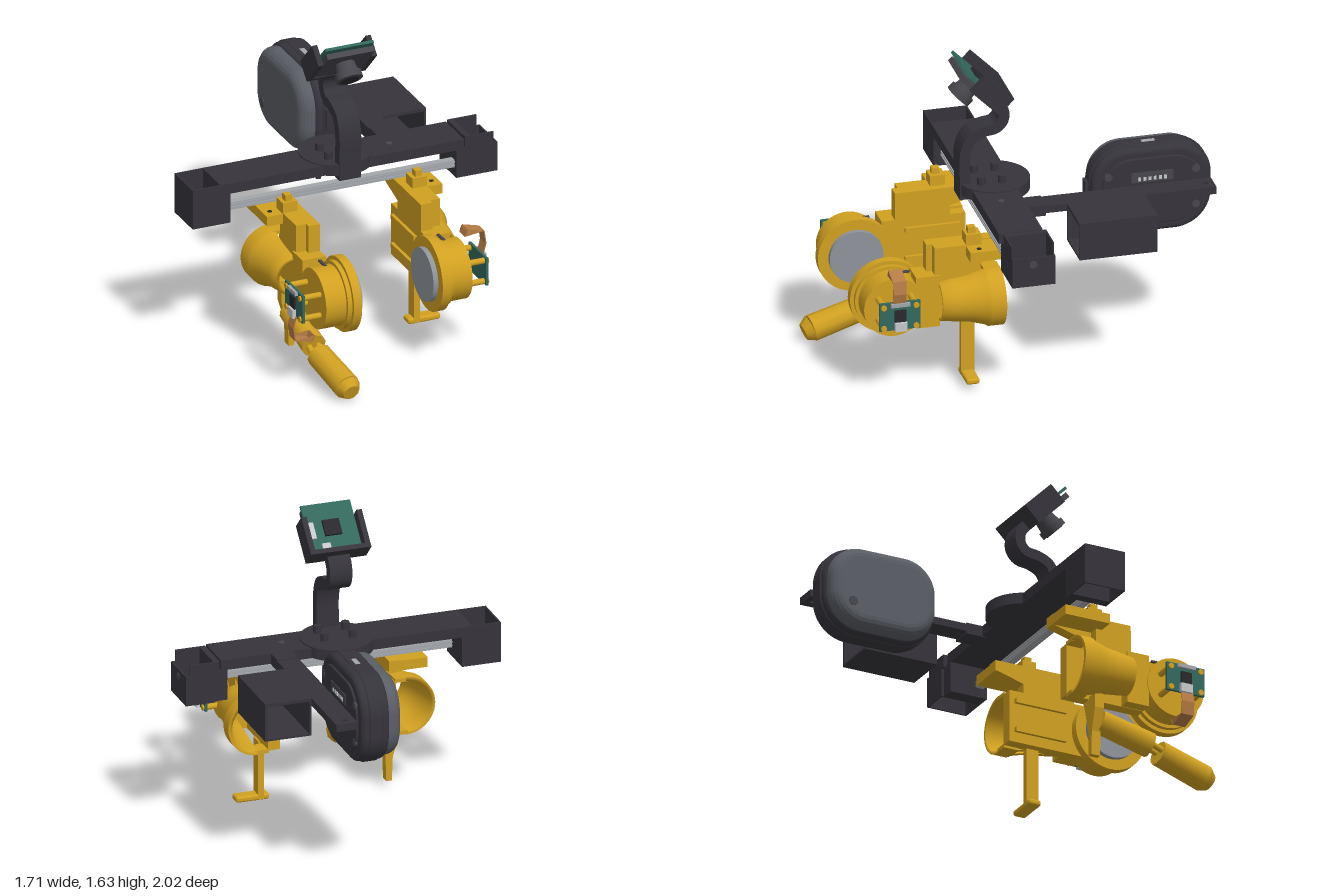
import * as THREE from 'three';
import { RoundedBoxGeometry } from 'three/addons/geometries/RoundedBoxGeometry.js';

const mat = (name, color) => new THREE.MeshStandardMaterial({ name, color, side: THREE.DoubleSide });

export function createModel() {
  const root = new THREE.Group();
  const black = mat('charcoal plastic', 0x36343b), yellow = mat('yellow plastic', 0xd0a020);
  const steel = mat('rail steel', 0xa2a6aa), glass = mat('pale disc', 0x8f949b);
  const dome = mat('slate shell', 0x5a5e65), teal = mat('circuit board', 0x33685d);
  const chipM = mat('chip', 0x29292d), white = mat('connector', 0xc4c8ca);
  const copper = mat('ribbon', 0xb67c45), lensM = mat('lens housing', 0x46464c);

  const group = (name, parent = root) => {
    const g = new THREE.Group();
    g.name = name;
    parent.add(g);
    return g;
  };
  const add = (parent, name, geo, m) => {
    const mesh = new THREE.Mesh(geo, m);
    mesh.name = name;
    parent.add(mesh);
    return mesh;
  };
  // Box given by its opposite limits
  const box = (p, name, m, x0, x1, y0, y1, z0, z1) => add(p, name,
    new THREE.BoxGeometry(Math.abs(x1 - x0), y1 - y0, z1 - z0)
      .translate((x0 + x1) / 2, (y0 + y1) / 2, (z0 + z1) / 2), m);
  // Cylinder between two points
  const rod = (p, name, m, a, b, r0, r1 = r0, sides = 32) => {
    const A = new THREE.Vector3(...a), B = new THREE.Vector3(...b), d = B.clone().sub(A);
    const mesh = add(p, name, new THREE.CylinderGeometry(r1, r0, d.length(), sides), m);
    mesh.quaternion.setFromUnitVectors(new THREE.Vector3(0, 1, 0), d.normalize());
    mesh.position.copy(A.add(B).multiplyScalar(0.5));
    return mesh;
  };
  // Side outline of (z, y) points given thickness along x
  const slab = (p, name, m, pts, x0, x1) => {
    const lo = Math.min(x0, x1), hi = Math.max(x0, x1);
    const shape = new THREE.Shape(pts.map(q => new THREE.Vector2(...q)));
    return add(p, name, new THREE.ExtrudeGeometry(shape, { depth: hi - lo, bevelEnabled: false })
      .rotateY(-Math.PI / 2).translate(hi, 0, 0), m);
  };
  // Four thin upright walls, open above and below
  const sleeve = (p, name, x0, x1, y0, y1, z0, z1, t) => {
    const g = group(name, p);
    box(g, 'frontWall', black, x0, x1, y0, y1, z1 - t, z1);
    box(g, 'backWall', black, x0, x1, y0, y1, z0, z0 + t);
    box(g, 'sideWall', black, x0, x0 + t, y0, y1, z0, z1);
    box(g, 'sideWall', black, x1 - t, x1, y0, y1, z0, z1);
  };

  // Cross beam, rail and end housings
  const frame = group('frame');
  box(frame, 'crossBeam', black, -0.7, 0.655, 0.912, 0.968, 0, 0.23);
  box(frame, 'rail', steel, -0.65, 0.63, 0.8, 0.84, 0.15, 0.19);
  for (const y of [0.808, 0.826]) box(frame, 'railLip', steel, -0.65, 0.63, y, y + 0.008, 0.145, 0.195);
  sleeve(frame, 'rightHousing', -0.855, -0.69, 0.75, 0.968, 0, 0.23, 0.008);
  box(frame, 'rightHousingBlock', black, -0.7, -0.645, 0.75, 0.968, 0, 0.23);
  sleeve(frame, 'leftHousing', 0.69, 0.85, 0.748, 0.908, -0.015, 0.21, 0.008);
  box(frame, 'leftHousingBlock', black, 0.62, 0.7, 0.748, 0.912, 0, 0.21);
  box(frame, 'leftHousingRim', black, 0.668, 0.7, 0.9, 0.97, -0.015, 0.21);
  for (const z of [-0.015, 0.202]) box(frame, 'housingTab', black, 0.69, 0.828, 0.9, 0.97, z, z + 0.008);
  rod(frame, 'housingButton', lensM, [0.848, 0.87, 0.1], [0.854, 0.87, 0.1], 0.02);
  rod(frame, 'beamScrew', lensM, [0.285, 0.96, 0.12], [0.285, 0.972, 0.12], 0.017);
  rod(frame, 'turntable', black, [0, 0.915, 0.09], [0, 0.975, 0.09], 0.19, 0.19, 48);
  for (const x of [-0.075, 0.075]) for (const z of [0.06, 0.17])
    rod(frame, 'turntablePost', black, [x, 0.97, z], [x, 1.015, z], 0.021, 0.021, 16);
  rod(frame, 'beamPin', black, [-0.143, 0.89, 0.2], [-0.143, 0.93, 0.2], 0.014);

  // Curved neck: an S-shaped strip
  const neck = new THREE.CatmullRomCurve3([[0.25, 0.89], [0.25, 1.0], [0.25, 1.14], [0.215, 1.225], [0.15, 1.258],
    [0.085, 1.27], [0.05, 1.31], [0.05, 1.37], [0.10, 1.44]].map(([z, y]) => new THREE.Vector3(z, y, 0)));
  const sideA = [], sideB = [];
  for (let i = 0; i <= 32; i++) {
    const c = neck.getPoint(i / 32), t = neck.getTangent(i / 32);
    sideA.push([c.x - t.y * 0.028, c.y + t.x * 0.028]);
    sideB.unshift([c.x + t.y * 0.028, c.y - t.x * 0.028]);
  }
  slab(root, 'neck', black, [...sideA, ...sideB], -0.06, 0.06);

  // Tilted camera in its tray, lens towards local +z
  const cam = group('camera');
  cam.position.set(0, 1.52, 0.17);
  cam.rotation.x = Math.PI / 4;
  for (const s of [-1, 1]) box(cam, 'traySide', black, s * 0.135, s * 0.163, -0.14, 0.07, -0.075, 0.04);
  box(cam, 'trayBottom', black, -0.163, 0.163, -0.14, -0.115, -0.075, 0.04);
  box(cam, 'lensPlate', lensM, -0.13, 0.13, -0.115, 0.135, 0.005, 0.035);
  box(cam, 'cameraBoard', teal, -0.134, 0.134, -0.115, 0.152, -0.02, -0.005);
  box(cam, 'cameraChip', chipM, -0.045, 0.045, -0.03, 0.055, -0.035, -0.02);
  box(cam, 'cameraConnector', white, 0.095, 0.125, -0.04, 0.05, -0.035, -0.02);
  box(cam, 'cameraConnector', white, 0.03, 0.075, -0.1, -0.07, -0.032, -0.02);
  rod(cam, 'lensBarrel', lensM, [0, 0.02, 0.03], [0, 0.02, 0.09], 0.05, 0.058);
  rod(cam, 'lensRim', lensM, [0, 0.02, 0.088], [0, 0.02, 0.125], 0.07);
  rod(cam, 'lensGlass', chipM, [0, 0.02, 0.124], [0, 0.02, 0.128], 0.05);

  // Rear bar with end hole, and open box hanging beside it
  const rear = group('rearCarrier');
  const bar = new THREE.Shape([[0.27, 0.02], [0.385, 0.02], [0.385, 0.985], [0.27, 0.985]].map(q => new THREE.Vector2(...q)));
  bar.holes.push(new THREE.Path().absarc(0.328, 0.94, 0.016, 0, Math.PI * 2, true));
  add(rear, 'rearBar', new THREE.ExtrudeGeometry(bar, { depth: 0.04, bevelEnabled: false })
    .rotateX(-Math.PI / 2).translate(0, 0.922, 0), black);
  box(rear, 'barRoot', black, 0.27, 0.385, 0.908, 0.968, -0.09, 0.02);
  box(rear, 'boxTop', black, 0.38, 0.635, 0.945, 0.962, -0.61, -0.2);
  box(rear, 'boxFloor', black, 0.385, 0.635, 0.757, 0.768, -0.61, -0.2);
  box(rear, 'boxInnerWall', black, 0.385, 0.397, 0.757, 0.96, -0.61, -0.2);
  box(rear, 'boxOuterWall', black, 0.623, 0.635, 0.757, 0.96, -0.61, -0.2);

  // Rounded sensor pod made from stacked rounded outlines
  const pod = group('pod');
  const outline = (w, h, r) => {
    const s = new THREE.Shape();
    [[w - r, h - r, 0], [r - w, h - r, 1], [r - w, r - h, 2], [w - r, r - h, 3]]
      .forEach(([x, y, k]) => s.absarc(x, y, r, k * Math.PI / 2, (k + 1) * Math.PI / 2));
    return s;
  };
  const podLayer = (name, m, w, h, r, x0, x1, bevel) => add(pod, name,
    new THREE.ExtrudeGeometry(outline(w - bevel, h - bevel, r - bevel), { depth: x1 - x0 - 2 * bevel,
      bevelSize: bevel, bevelThickness: bevel, bevelSegments: 5, curveSegments: 14 })
      .rotateY(-Math.PI / 2).translate(x1 - bevel, 0.92, -0.68), m);
  podLayer('podBody', black, 0.315, 0.237, 0.19, 0.095, 0.25, 0.03);
  podLayer('podBand', black, 0.322, 0.242, 0.195, 0.135, 0.21, 0.008);
  podLayer('podDome', dome, 0.3, 0.222, 0.18, 0.022, 0.16, 0.06);
  podLayer('podBack', black, 0.26, 0.185, 0.15, 0.24, 0.262, 0.006);
  box(pod, 'podSocket', lensM, 0.258, 0.266, 0.975, 1.03, -0.79, -0.57);
  for (let i = 0; i < 6; i++) box(pod, 'podContact', white, 0.264, 0.269, 0.984, 1.004, -0.755 + i * 0.027, -0.74 + i * 0.027);
  for (const z of [-0.45, -0.91]) for (const y of [0.82, 1.02])
    rod(pod, 'podScrew', lensM, [0.24, y, z], [0.264, y, z], 0.021, 0.021, 20);
  box(pod, 'podPort', steel, 0.158, 0.184, 1.158, 1.164, -0.715, -0.645);
  rod(pod, 'podButton', lensM, [0.018, 0.82, -0.87], [0.06, 0.82, -0.87], 0.025);
  for (const z of [-1, -0.363]) box(pod, 'podLug', black, 0.145, 0.2, 0.86, 0.98, z, z + 0.02);

  // A gripper on each side: s = 1 is the model's left
  const gripper = s => {
    const g = group(s > 0 ? 'leftGripper' : 'rightGripper'), zc = s > 0 ? 0.715 : 0.75, yc = 0.503;
    const b = (name, m, x0, x1, ...r) => box(g, name, m, s * x0, s * x1, ...r);
    // Hanger and clamp
    b('hangerPlate', yellow, 0.28, 0.488, 0.742, 0.795, 0.08, 0.335);
    b('clampBlock', yellow, 0.32, 0.4, 0.79, 0.855, 0.255, 0.335);
    b('clampKnob', yellow, 0.343, 0.38, 0.85, 0.888, 0.28, 0.32);
    for (const x of [0.385, 0.45]) rod(g, 'hangerScrew', chipM, [s * x, 0.79, 0.28], [s * x, 0.798, 0.28], 0.012, 0.012, 16);
    slab(g, 'sideWeb', yellow, [[0.53, 0.8], [0.08, 0.8], [0.08, 0.745], [0.24, 0.7], [0.24, 0.65], [0.16, 0.65],
      [0.16, 0.365], [0.6, 0.365], [0.6, 0.65], [0.53, 0.65]], s * 0.28, s * 0.345);
    b('webBlock', yellow, 0.33, 0.41, 0.367, 0.65, 0.475, 0.6);
    b('webRib', yellow, 0.335, 0.4, 0.62, 0.8, 0.3, 0.5);
    for (const y of [0.42, 0.58]) b('innerRib', yellow, 0.262, 0.285, y, y + 0.025, 0.19, 0.48);
    // Half funnel behind the drum
    const prof = [[0.158, 0.16], [0.158, 0.235], [0.148, 0.25], [0.125, 0.33], [0.115, 0.41], [0.105, 0.48],
      [0.085, 0.48], [0.095, 0.41], [0.108, 0.33], [0.13, 0.24], [0.138, 0.16], [0.158, 0.16]];
    add(g, 'funnel', new THREE.LatheGeometry(prof.map(q => new THREE.Vector2(...q)), 24, s > 0 ? 0 : Math.PI, Math.PI)
      .rotateX(Math.PI / 2).translate(s * 0.4, 0.507, 0), yellow);
    for (const y of [0.352, 0.642]) b('funnelFlange', yellow, 0.34, 0.41, y, y + 0.02, 0.16, 0.245);
    // Drum along x
    const disc = (name, m, x0, x1, r) => rod(g, name, m, [s * x0, yc, zc], [s * x1, yc, zc], r, r, 48);
    disc('drumFlange', yellow, 0.232, 0.278, 0.198);
    disc('drumCollar', yellow, 0.275, 0.302, 0.178);
    disc('drumBody', yellow, 0.3, 0.415, 0.16);
    disc('drumPad', glass, 0.205, 0.235, 0.142);
    b('drumSlot', lensM, 0.33, 0.345, 0.655, 0.664, zc - 0.1, zc - 0.02);
    // Circuit board on standoffs
    for (const y of [0.445, 0.56]) for (const z of [-0.085, 0.085]) {
      rod(g, 'standoff', yellow, [s * 0.41, y, zc + z], [s * 0.515, y, zc + z], 0.016, 0.016, 16);
      rod(g, 'boardScrew', yellow, [s * 0.524, y, zc + z], [s * 0.534, y, zc + z], 0.015, 0.015, 16);
    }
    b('sensorBoard', teal, 0.511, 0.525, 0.428, 0.582, zc - 0.108, zc + 0.108);
    b('sensorChip', chipM, 0.525, 0.536, 0.475, 0.54, zc - 0.03, zc + 0.03);
    b('sensorPlug', white, 0.525, 0.545, 0.425, 0.472, zc - 0.035, zc + 0.03);
    b('sensorSocket', steel, 0.525, 0.54, 0.56, 0.58, zc - 0.05, zc + 0.05);
    // Folded ribbon, upwards on the left and downwards on the right
    const path = [[0.53, 0.07], [0.545, 0.13], [0.535, 0.2], [0.44, 0.225], [0.43, 0.19]];
    const upper = path.map(([x, y]) => [s * x, yc + s * y]);
    const lower = path.map(([x, y]) => [s * (x - 0.005), yc + s * (y - 0.004)]).reverse();
    add(g, 'ribbon', new THREE.ExtrudeGeometry(new THREE.Shape([...upper, ...lower].map(q => new THREE.Vector2(...q))),
      { depth: 0.07, bevelEnabled: false }).translate(0, 0, zc - 0.03), copper);
  };
  gripper(1);
  gripper(-1);

  // Left foot: straight post with a crossbar
  const post = group('leftFoot');
  box(post, 'post', yellow, 0.323, 0.355, 0.05, 0.37, 0.28, 0.35);
  add(post, 'toe', new RoundedBoxGeometry(0.18, 0.032, 0.07, 3, 0.012).translate(0.382, 0.06, 0.315), yellow);

  // Right finger: tapered fin and two jointed segments
  const finger = group('rightFinger');
  const fin = new THREE.Shape([[-0.28, 0.38], [-0.41, 0.38], [-0.41, 0.3], [-0.375, 0.18], [-0.37, 0.05], [-0.34, 0.05], [-0.335, 0.2]]
    .map(q => new THREE.Vector2(...q)));
  add(finger, 'fin', new THREE.ExtrudeGeometry(fin, { depth: 0.05, bevelEnabled: false }).translate(0, 0, 0.29), yellow);
  rod(finger, 'innerSegment', yellow, [-0.36, 0.245, 0.34], [-0.36, 0.175, 0.63], 0.062, 0.066, 10);
  rod(finger, 'outerSegment', yellow, [-0.355, 0.145, 0.68], [-0.32, 0.077, 0.96], 0.066, 0.07, 10);
  rod(finger, 'fingertip', yellow, [-0.32, 0.077, 0.96], [-0.315, 0.062, 1.0], 0.07, 0.045, 10);
  for (const x of [-0.385, -0.335])
    rod(finger, 'jointPin', yellow, [x, 0.185, 0.6], [x, 0.145, 0.7], 0.016, 0.016, 12);

  return root;
}
